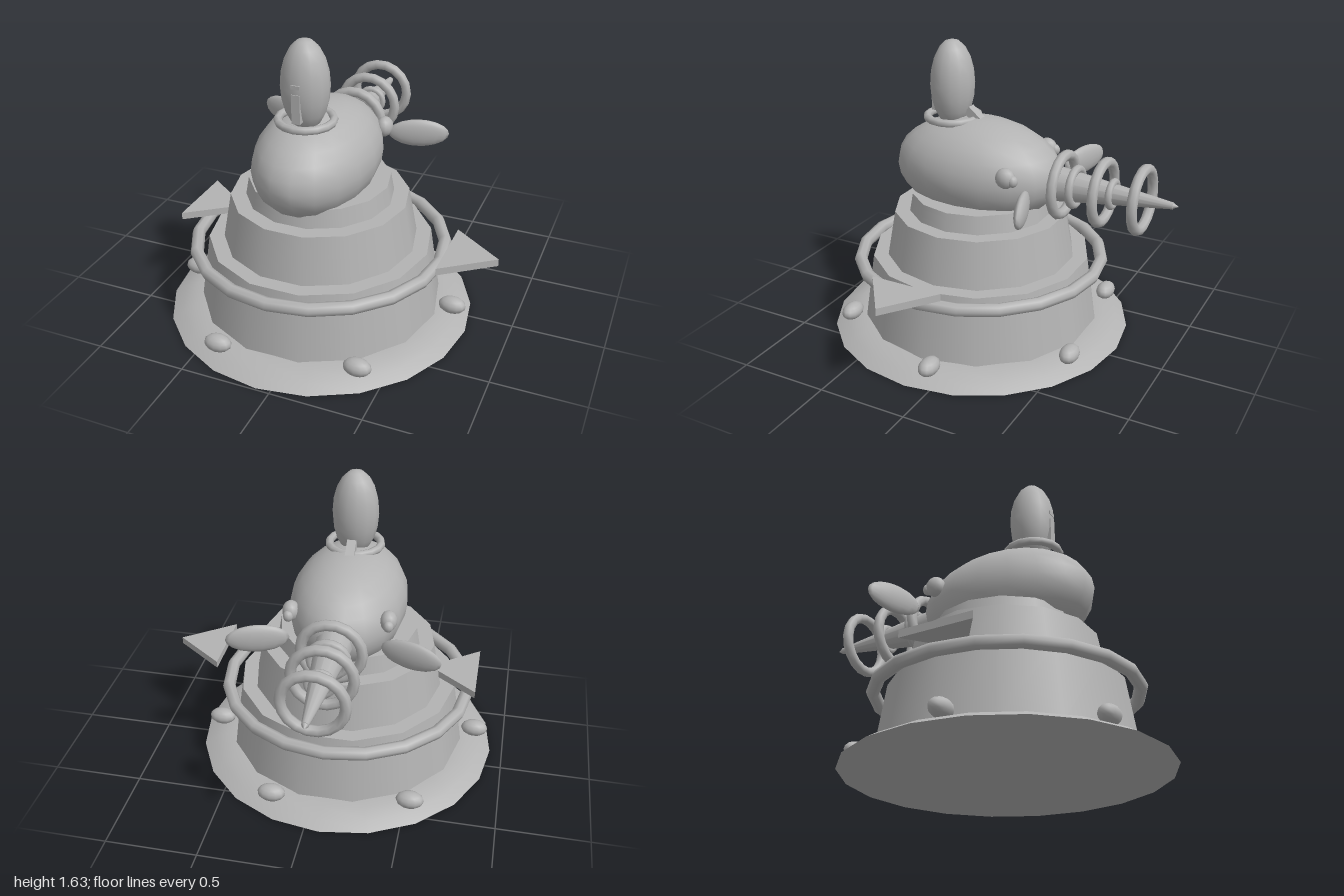
import * as THREE from 'three';

export function createModel() {
  const model = new THREE.Group();
  model.name = 'tieredCreature';
  const grey = new THREE.MeshStandardMaterial({ color: 0xb3b3b3 });
  grey.name = 'grey';
  const CX = -0.08, CZ = 0.14; // axis of the stacked body

  const add = (name, geometry, x, y, z) => {
    const mesh = new THREE.Mesh(geometry, grey);
    mesh.name = name;
    mesh.position.set(x, y, z);
    model.add(mesh);
    return mesh;
  };
  const ellipsoid = (name, x, y, z, rx, ry, rz, w = 14, h = 10) => {
    const mesh = add(name, new THREE.SphereGeometry(1, w, h), x, y, z);
    mesh.scale.set(rx, ry, rz);
    return mesh;
  };

  // Flared base with a closed underside
  const profile = [[0, 0], [0.85, 0], [0.85, 0], [0.79, 0.035], [0.72, 0.06], [0.64, 0.068], [0, 0.068]]
    .map(([r, y]) => new THREE.Vector2(r, y));
  add('base', new THREE.LatheGeometry(profile, 20), CX, 0, CZ);

  // Three tapering tiers: bottom radius, top radius, bottom y, top y
  const tiers = [
    ['lowerTier', 0.675, 0.615, 0.05, 0.44],
    ['middleTier', 0.54, 0.485, 0.40, 0.70],
    ['upperTier', 0.405, 0.383, 0.68, 0.80],
  ];
  for (const [name, rb, rt, y0, y1] of tiers) {
    const tier = new THREE.CylinderGeometry(rt, rb, y1 - y0, 14);
    tier.rotateY(Math.PI / 2);
    add(name, tier, CX, (y0 + y1) / 2, CZ);
  }

  // Hoop around the lower tier
  add('bodyHoop', new THREE.TorusGeometry(0.687, 0.036, 8, 20).rotateX(Math.PI / 2), CX, 0.41, CZ);

  // Six studs around the base
  for (let i = 0; i < 6; i++) {
    const a = THREE.MathUtils.degToRad(53 + 60 * i);
    ellipsoid('baseStud', CX + 0.752 * Math.cos(a), 0.087, CZ + 0.752 * Math.sin(a), 0.077, 0.048, 0.052, 12, 8);
  }

  // Flat triangular fins, both pointing the same way
  const triangle = new THREE.Shape([
    new THREE.Vector2(0, -0.205), new THREE.Vector2(0.275, 0), new THREE.Vector2(0, 0.205)]);
  for (const x of [0.655, -0.815]) {
    const fin = new THREE.ExtrudeGeometry(triangle, { depth: 0.04, bevelEnabled: false });
    add('sideFin', fin.rotateX(Math.PI / 2), x, 0.53, 0.18);
  }

  // Long rounded head
  ellipsoid('head', CX, 0.935, 0.152, 0.32, 0.285, 0.492, 18, 14);

  // Upright pod with collar and small markings
  ellipsoid('topPod', CX, 1.39, 0.31, 0.128, 0.245, 0.122);
  add('podCollar', new THREE.TorusGeometry(0.143, 0.022, 8, 16).rotateX(Math.PI / 2), CX, 1.203, 0.31);
  add('podSlot', new THREE.BoxGeometry(0.046, 0.155, 0.05), CX, 1.303, 0.408);
  add('podSlotCap', new THREE.BoxGeometry(0.05, 0.02, 0.03), CX, 1.42, 0.417);
  const tab = add('rearTab', new THREE.BoxGeometry(0.05, 0.05, 0.1), CX, 1.225, 0.175);
  tab.rotation.x = -0.7;

  // Paired ears and eyes
  for (const s of [-1, 1]) {
    const ear = ellipsoid(s > 0 ? 'leftEar' : 'rightEar', CX + s * 0.402, 0.92, -0.312, 0.168, 0.08, 0.033);
    ear.rotation.y = s * 0.3;
    ellipsoid('eye', CX + s * 0.26, 1.008, -0.145, 0.046, 0.056, 0.055, 12, 8);
    ellipsoid('pupil', CX + s * 0.265, 1.0, -0.19, 0.028, 0.032, 0.028, 10, 8);
  }

  // Tapered rear spike with tip
  const Y = 0.92;
  const spike = new THREE.CylinderGeometry(0.018, 0.102, 0.69, 12).rotateX(-Math.PI / 2);
  add('rearSpike', spike, CX, Y, -0.625);
  add('spikeTip', new THREE.ConeGeometry(0.018, 0.035, 12).rotateX(-Math.PI / 2), CX, Y, -0.9825);

  // Rings along the spike: z, major radius, tube radius
  const rings = [
    [-0.362, 0.162, 0.029], [-0.59, 0.162, 0.029], [-0.805, 0.162, 0.029],
    [-0.433, 0.098, 0.023], [-0.642, 0.066, 0.02],
  ];
  for (const [z, r, t] of rings) add('spikeRing', new THREE.TorusGeometry(r, t, 8, 18), CX, Y, z);

  return model;
}
